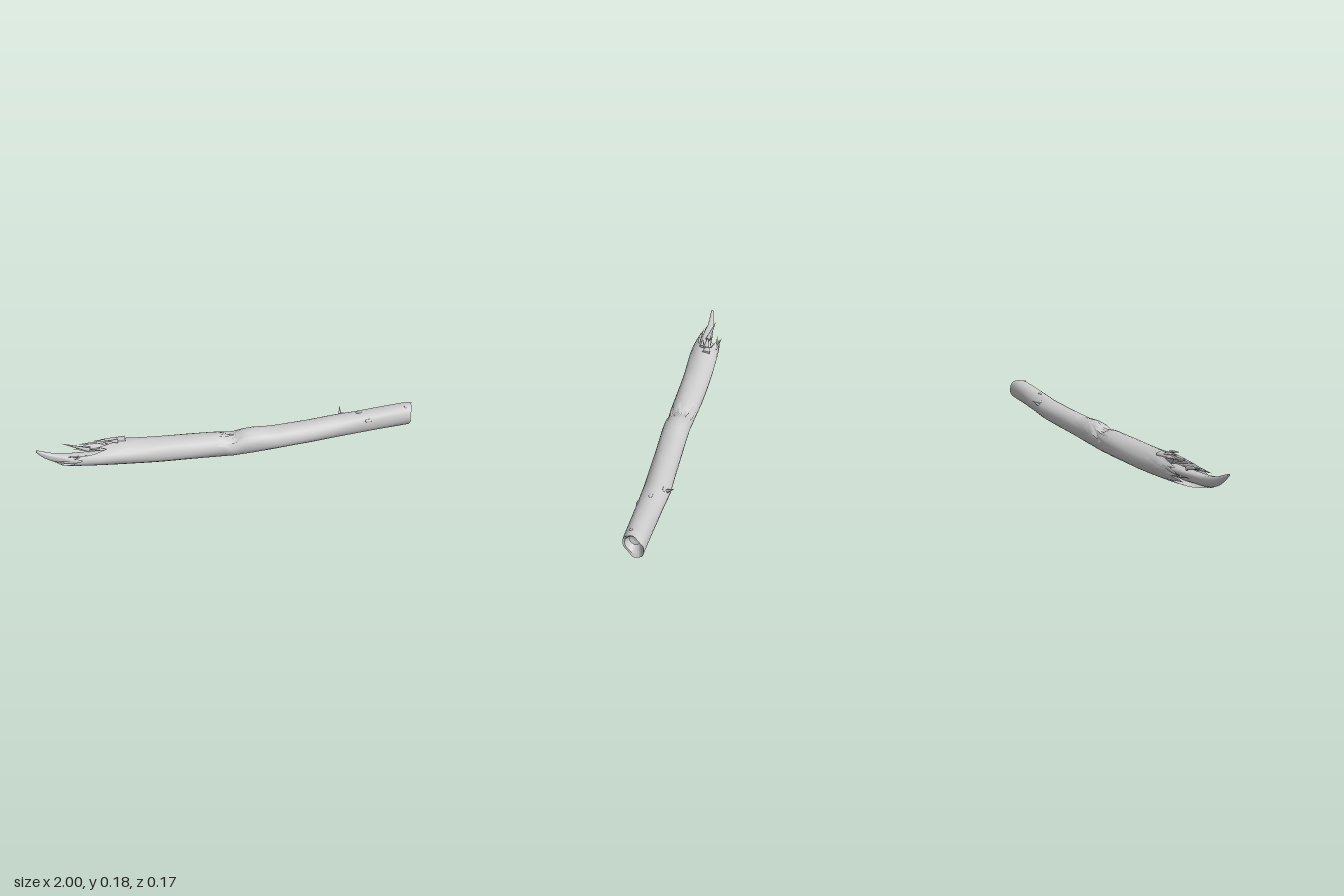
import * as THREE from 'three';

const wood = new THREE.MeshStandardMaterial({ color: 0xcccccc, side: THREE.DoubleSide });
wood.name = 'pale grey wood';

const SEG = 24;

// Cross-sections along the log: x, bottom, top, back z, front z
const TRUNK = [
  [-0.92, 0.095, 0.14, -0.02, 0.035], [-0.86, 0.076, 0.145, -0.03, 0.045],
  [-0.8, 0.064, 0.152, -0.075, 0.055], [-0.7, 0.053, 0.158, -0.088, 0.066],
  [-0.6, 0.043, 0.163, -0.09, 0.07], [-0.5, 0.034, 0.152, -0.088, 0.07],
  [-0.4, 0.024, 0.145, -0.084, 0.07], [-0.2, 0.012, 0.136, -0.075, 0.074],
  [-0.07, 0.005, 0.132, -0.064, 0.075], [-0.02, 0.004, 0.108, -0.058, 0.076],
  [0.04, 0.004, 0.136, -0.056, 0.08], [0.1, 0.005, 0.139, -0.056, 0.081],
  [0.2, 0.009, 0.127, -0.055, 0.08], [0.4, 0.015, 0.13, -0.057, 0.075],
  [0.56, 0.023, 0.138, -0.062, 0.07], [0.68, 0.03, 0.146, -0.052, 0.07],
  [0.85, 0.037, 0.16, -0.042, 0.072], [0.94, 0.041, 0.166, -0.038, 0.073],
  [1.0, 0.045, 0.16, -0.034, 0.068],
];
const TONGUE = [
  [-1.0, 0.176, 0.188, 0.0, 0.014], [-0.975, 0.142, 0.178, -0.005, 0.016],
  [-0.94, 0.113, 0.16, -0.012, 0.018], [-0.9, 0.094, 0.147, -0.018, 0.022],
  [-0.84, 0.08, 0.135, -0.025, 0.035], [-0.74, 0.068, 0.125, -0.032, 0.045],
  [-0.58, 0.06, 0.115, -0.04, 0.045],
];
// Where the torn left end stops, going front, top, back, bottom
const TEAR = [
  -0.82, -0.78, -0.83, -0.72, -0.66, -0.70, -0.61, -0.66, -0.62, -0.72, -0.67, -0.78,
  -0.71, -0.79, -0.70, -0.75, -0.80, -0.82, -0.87, -0.90, -0.88, -0.86, -0.86, -0.83,
];

function section(table, x) {
  let i = 0;
  while (i < table.length - 2 && x > table[i + 1][0]) i++;
  const t = THREE.MathUtils.clamp((x - table[i][0]) / (table[i + 1][0] - table[i][0]), 0, 1);
  return table[i].map((v, k) => THREE.MathUtils.lerp(v, table[i + 1][k], t));
}

function surfacePoint(table, x, a, bump = 0) {
  const [, low, high, back, front] = section(table, x);
  const cy = low + Math.min(0.065, (high - low) / 2);
  const s = Math.sin(a);
  const k = 1 + bump * (Math.sin(3 * a + 7 * x) + Math.sin(5 * a - 11 * x)) - bump;
  return new THREE.Vector3(
    x,
    cy + s * (s > 0 ? high - cy : cy - low) * k,
    (back + front) / 2 + Math.cos(a) * (front - back) / 2 * k
  );
}

function ring(fn) {
  return Array.from({ length: SEG }, (_, j) => fn(j / SEG * Math.PI * 2, j));
}

// Skin a list of closed rings
function loft(name, rings, flat = false) {
  const n = rings[0].length;
  const index = [];
  for (let i = 0; i < rings.length - 1; i++) {
    for (let j = 0; j < n; j++) {
      const a = i * n + j, b = i * n + (j + 1) % n;
      index.push(a, a + n, b, b, a + n, b + n);
    }
  }
  let geo = new THREE.BufferGeometry().setFromPoints(rings.flat());
  geo.setIndex(index);
  if (flat) geo = geo.toNonIndexed();
  geo.computeVertexNormals();
  const mesh = new THREE.Mesh(geo, wood);
  mesh.name = name;
  return mesh;
}

// Shrink an end ring towards a centre to form a broken hollow
function inset(rim, scale, x, cy, cz, keep = 0) {
  return rim.map((p) => new THREE.Vector3(
    THREE.MathUtils.lerp(x, p.x, keep), cy + (p.y - cy) * scale, cz + (p.z - cz) * scale));
}

// Thin pointed shard running from root to tip
function splinter(name, root, tip, width, thick) {
  const a = new THREE.Vector3(...root), b = new THREE.Vector3(...tip);
  const geo = new THREE.ConeGeometry(1, a.distanceTo(b), 5, 2);
  geo.scale(width, 1, thick);
  const mesh = new THREE.Mesh(geo, wood);
  mesh.position.copy(a).lerp(b, 0.5);
  mesh.quaternion.setFromUnitVectors(new THREE.Vector3(0, 1, 0), b.clone().sub(a).normalize());
  mesh.name = name;
  return mesh;
}

export function createModel() {
  const log = new THREE.Group();
  log.name = 'brokenLog';

  // Bark surface between the two ragged ends
  const rightEnd = (a) => 0.974 - 0.022 * Math.cos(a) - 0.004 * Math.sin(5 * a);
  const STEPS = 120;
  const rings = [];
  for (let i = 0; i <= STEPS; i++) {
    rings.push(ring((a, j) => {
      const x = THREE.MathUtils.lerp(TEAR[j], rightEnd(a), i / STEPS);
      return surfacePoint(TRUNK, x, a, 0.012);
    }));
  }
  log.add(loft('trunk', rings));

  // Broken right end with a shallow hollow towards the front
  const r = rings[STEPS];
  log.add(loft('rightBreak', [r, inset(r, 0.82, 0.955, 0.1, 0.015, 0.5),
    inset(r, 0.5, 0.925, 0.095, 0.025), inset(r, 0.01, 0.92, 0.095, 0.03)], true));

  // Torn left end, sloping in to the core
  const l = rings[0];
  log.add(loft('leftBreak', [inset(l, 0.01, -0.6, 0.1, 0), inset(l, 0.55, -0.63, 0.1, 0, 0.2),
    inset(l, 0.84, -0.66, 0.1, 0, 0.6), l], true));

  // Long core tongue left standing at the tear
  const tongue = [];
  for (let i = 0; i <= 24; i++) {
    const x = -1 + 0.42 * i / 24;
    tongue.push(ring((a) => surfacePoint(TONGUE, x, a, 0.05)));
  }
  tongue.unshift(inset(tongue[0], 0.01, -1, 0.182, 0.007));
  log.add(loft('coreTongue', tongue));

  // Shards around the tear: root, tip, width, thickness
  [
    [[-0.74, 0.135, -0.01], [-0.88, 0.18, -0.035], 0.012, 0.014],
    [[-0.56, 0.155, -0.03], [-0.72, 0.168, -0.035], 0.014, 0.026],
    [[-0.6, 0.165, -0.025], [-0.69, 0.182, -0.02], 0.008, 0.02],
    [[-0.6, 0.17, 0.0], [-0.66, 0.184, 0.005], 0.008, 0.015],
    [[-0.64, 0.125, -0.07], [-0.79, 0.125, -0.085], 0.016, 0.01],
    [[-0.68, 0.1, -0.07], [-0.82, 0.12, -0.055], 0.014, 0.012],
    [[-0.7, 0.12, 0.045], [-0.86, 0.14, 0.03], 0.016, 0.012],
    [[-0.82, 0.1, 0.025], [-0.93, 0.115, 0.03], 0.01, 0.012],
  ].forEach(([root, tip, w, t], i) => log.add(splinter('splinter' + (i + 1), root, tip, w, t)));

  // Twig stub on the back
  log.add(splinter('twigStub', [0.595, 0.105, -0.045], [0.605, 0.137, -0.089], 0.011, 0.01));

  // Small knots lying on the bark
  [[0.715, 0.55], [0.68, 1.6], [0.6, 2.35], [0.93, 1.2]].forEach(([x, a], i) => {
    const knot = new THREE.Mesh(new THREE.SphereGeometry(1, 10, 6), wood);
    knot.scale.set(i === 3 ? 0.007 : 0.018, 0.009, 0.004);
    knot.position.copy(surfacePoint(TRUNK, x, a, 0.012));
    knot.rotation.x = -a;
    knot.name = 'knot' + (i + 1);
    log.add(knot);
  });

  return log;
}
